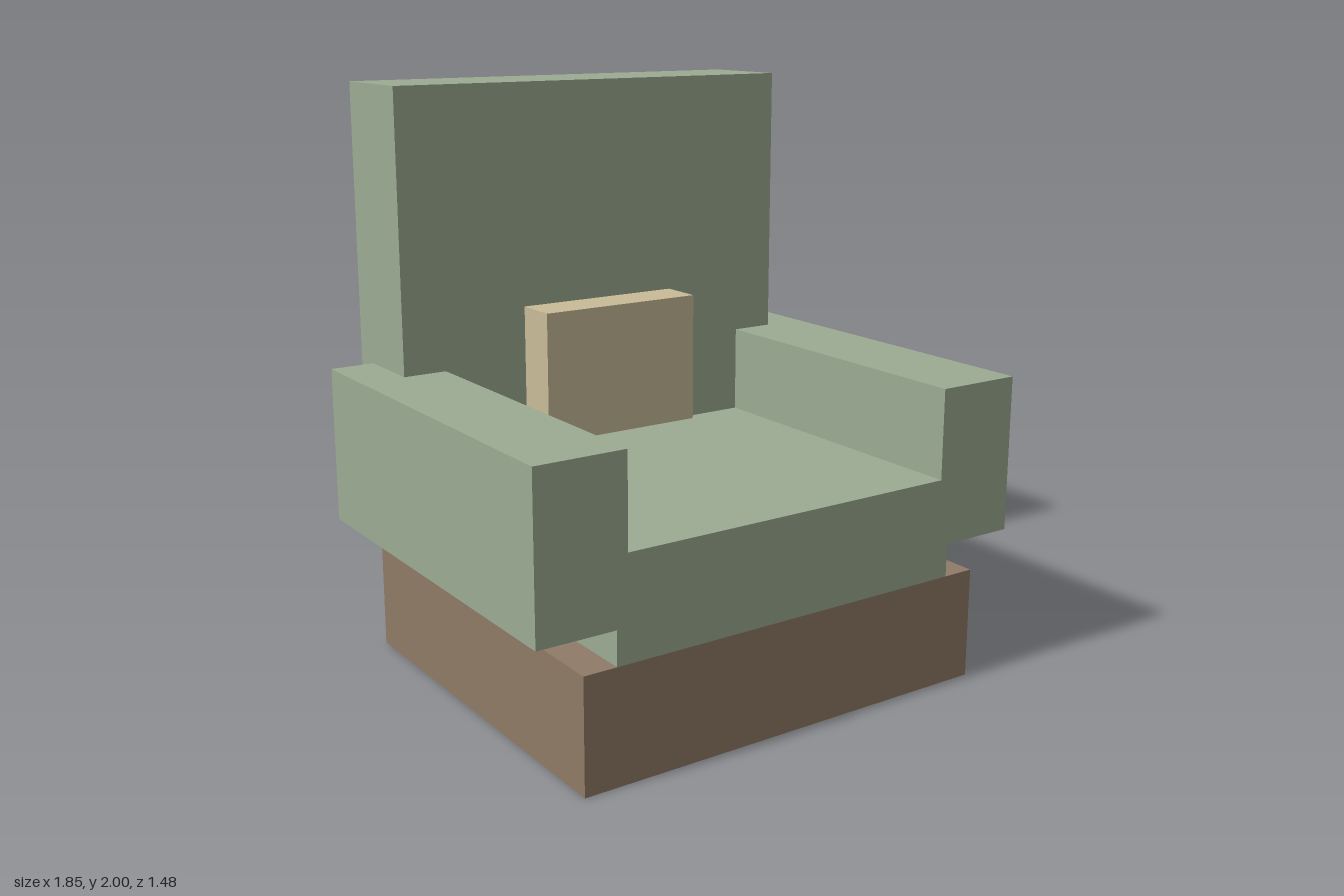
import * as THREE from 'three';

export function createModel() {
  const material = (name, color) => {
    const m = new THREE.MeshStandardMaterial({ color });
    m.name = name;
    return m;
  };
  const green = material('sage fabric', 0x9cab92);
  const brown = material('brown wood', 0x907b67);
  const tan = material('tan fabric', 0xc8bb97);

  const model = new THREE.Group();
  model.name = 'armchair';

  // Box given by its lower and upper corner
  const box = (name, mat, [x0, y0, z0], [x1, y1, z1]) => {
    const mesh = new THREE.Mesh(new THREE.BoxGeometry(x1 - x0, y1 - y0, z1 - z0), mat);
    mesh.position.set((x0 + x1) / 2, (y0 + y1) / 2, (z0 + z1) / 2);
    mesh.name = name;
    model.add(mesh);
  };

  box('base', brown, [-0.77, 0, -0.64], [0.77, 0.385, 0.74]);
  box('seat', green, [-0.655, 0.385, -0.49], [0.655, 0.73, 0.74]);
  box('backrest', green, [-0.77, 0.62, -0.74], [0.77, 2, -0.395]);
  box('cushion', tan, [-0.305, 0.77, -0.395], [0.305, 1.23, -0.24]);

  // Matching armrests
  box('leftArmrest', green, [0.615, 0.5, -0.645], [0.925, 1.04, 0.74]);
  box('rightArmrest', green, [-0.925, 0.5, -0.645], [-0.615, 1.04, 0.74]);

  return model;
}
